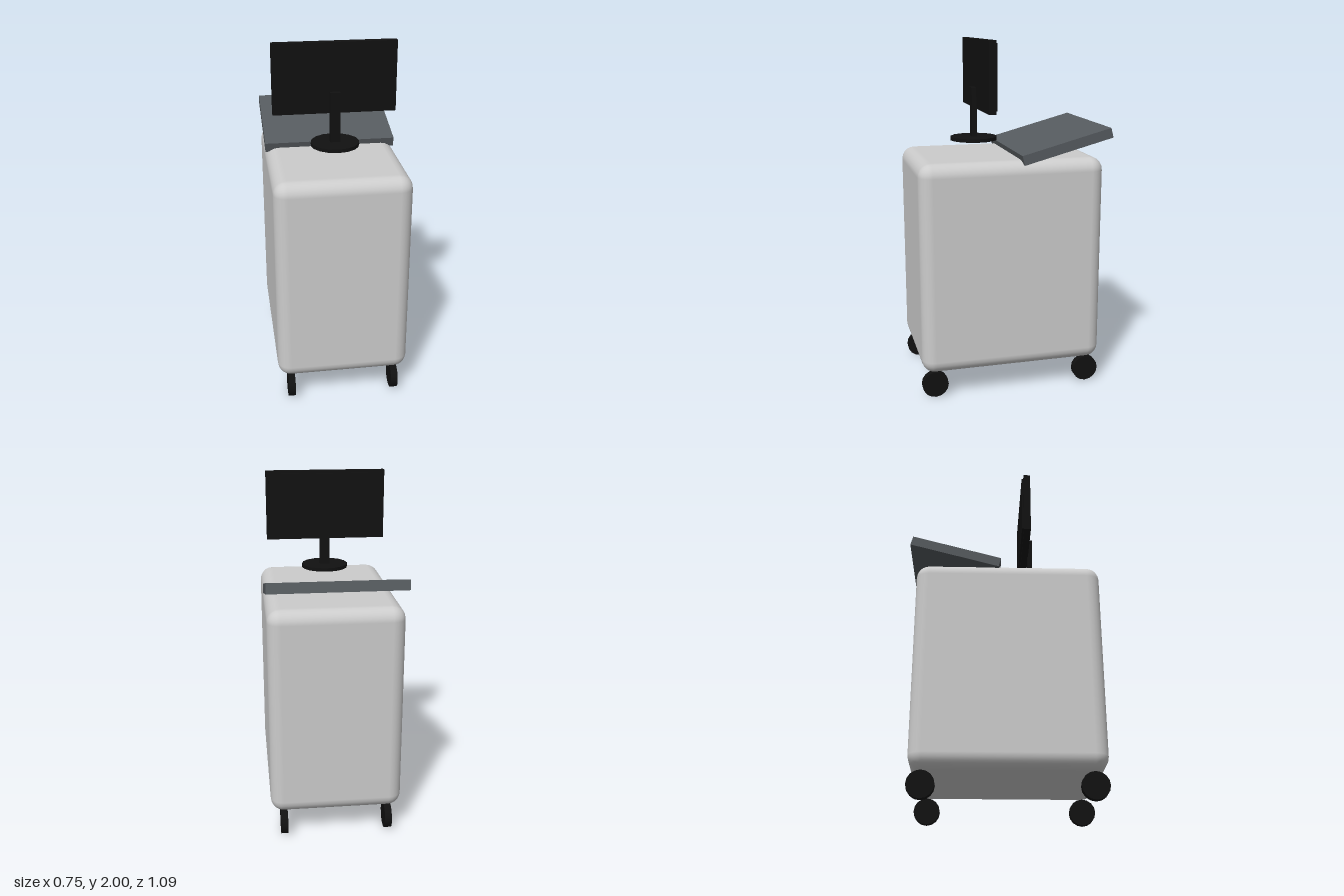
import * as THREE from 'three';
import { RoundedBoxGeometry } from 'three/addons/geometries/RoundedBoxGeometry.js';

export function createModel() {
  const group = new THREE.Group();
  const material = (name, color) => {
    const m = new THREE.MeshStandardMaterial({ color });
    m.name = name;
    return m;
  };
  const lightGrey = material('light grey', 0xcccccc);
  const slate = material('slate grey', 0x565b5f);
  const black = material('black', 0x111111);

  const add = (name, geometry, mat, x, y, z) => {
    const mesh = new THREE.Mesh(geometry, mat);
    mesh.name = name;
    mesh.position.set(x, y, z);
    group.add(mesh);
    return mesh;
  };

  // Rounded cabinet
  add('cabinet', new RoundedBoxGeometry(0.75, 1.2, 1.05, 3, 0.075), lightGrey, 0, 0.755, 0.02);

  // Four wheels, axles along x
  const wheel = new THREE.CylinderGeometry(0.075, 0.075, 0.04, 16).rotateZ(Math.PI / 2);
  for (const x of [-0.3, 0.3])
    for (const z of [0.47, -0.433])
      add((z > 0 ? 'front' : 'back') + (x > 0 ? 'Left' : 'Right') + 'Wheel', wheel, black, x, 0.075, z);

  // Tilted work surface, rising to the back
  const tray = add('tray', new THREE.BoxGeometry(0.75, 0.056, 0.5275), slate, 0, 1.427, -0.283);
  tray.rotation.x = THREE.MathUtils.degToRad(15);

  // Monitor on a round stand
  add('monitorBase', new THREE.CylinderGeometry(0.135, 0.135, 0.02, 16), black, 0, 1.44, 0.167);
  add('monitorPost', new THREE.BoxGeometry(0.056, 0.29, 0.03), black, 0, 1.585, 0.167);
  add('monitorScreen', new THREE.BoxGeometry(0.68, 0.39, 0.04), black, 0, 1.805, 0.136);
  add('monitorBack', new THREE.BoxGeometry(0.645, 0.36, 0.02), black, 0, 1.805, 0.115);

  return group;
}
